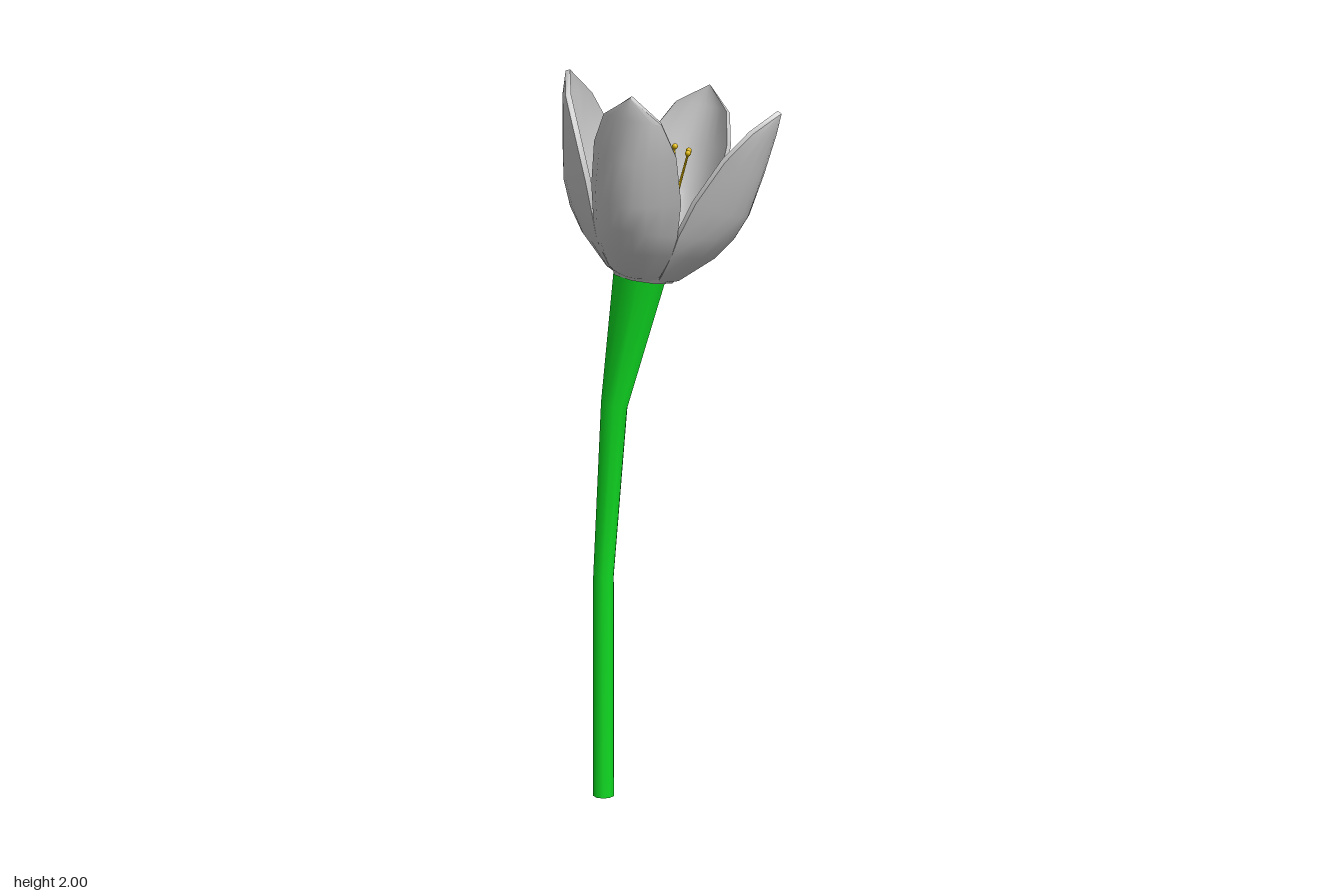
import * as THREE from 'three';
import { toCreasedNormals } from 'three/addons/utils/BufferGeometryUtils.js';

const V = (x, y, z) => new THREE.Vector3(x, y, z);

// Skin a stack of closed cross-sections that have equal point counts.
function loft(rings, crease = 0.7) {
  const n = rings[0].length, index = [];
  for (let i = 0; i < rings.length - 1; i++) {
    for (let j = 0; j < n; j++) {
      const a = i * n + j, b = i * n + (j + 1) % n;
      index.push(a, a + n, b, b, a + n, b + n);
    }
  }
  const geo = new THREE.BufferGeometry().setFromPoints(rings.flat());
  geo.setIndex(index);
  return toCreasedNormals(geo, crease);
}

// Ring around (x, y), leaning towards +x by the tilt angle.
function ring(x, y, radius, tilt, sides) {
  return Array.from({ length: sides }, (_, i) => {
    const a = (i / sides) * Math.PI * 2;
    return V(radius * Math.cos(a), 0, radius * Math.sin(a))
      .applyAxisAngle(V(0, 0, 1), -tilt).add(V(x, y, 0));
  });
}

// Cupped petal facing +x with an outer and an inner skin.
function petalGeometry() {
  // middle radius, middle height, edge radius, edge height, half width
  const rows = [
    [0.070, 0.000, 0.058, 0.000, 0.050],
    [0.100, 0.010, 0.075, 0.025, 0.073],
    [0.188, 0.089, 0.106, 0.090, 0.106],
    [0.232, 0.150, 0.121, 0.145, 0.119],
    [0.260, 0.215, 0.155, 0.240, 0.126],
    [0.281, 0.330, 0.212, 0.360, 0.114],
    [0.297, 0.440, 0.262, 0.440, 0.080],
    [0.305, 0.497, 0.305, 0.497, 0.000],
  ];
  const steps = 8;
  const rings = rows.map(([rm, hm, re, he, w]) => {
    const skin = (inset) => Array.from({ length: steps + 1 }, (_, j) => {
      const s = (j / steps) * 2 - 1, k = s * s;
      return V(rm + (re - rm) * k - inset, hm + (he - hm) * k + inset * 0.4,
        s * Math.max(0, w - inset * 0.6));
    });
    return [...skin(0), ...skin(0.012).reverse()];
  });
  return loft(rings, 0.8);
}

export function createModel() {
  const model = new THREE.Group();
  model.name = 'flower';
  const grey = new THREE.MeshStandardMaterial({ color: 0xcccccc });
  const green = new THREE.MeshStandardMaterial({ color: 0x0fdc22 });
  const gold = new THREE.MeshStandardMaterial({ color: 0xe0b800 });
  const add = (parent, name, geo, mat) => {
    const mesh = new THREE.Mesh(geo, mat);
    mesh.name = name;
    parent.add(mesh);
    return mesh;
  };

  // Bent stem widening towards the flower head
  const stem = [
    [-0.205, 0, 0, 0], [-0.205, 0, 0.03, 0], [-0.202, 0.63, 0.029, 0.04],
    [-0.168, 1.11, 0.038, 0.3], [-0.092, 1.468, 0.074, 0.165], [-0.092, 1.468, 0, 0.165],
  ];
  add(model, 'stem', loft(stem.map(([x, y, r, t]) => ring(x, y, r, t, 10))), green);

  // Leaning flower head
  const head = new THREE.Group();
  head.name = 'flowerHead';
  head.position.set(-0.083, 1.46, 0);
  head.rotation.z = -0.165;
  model.add(head);

  // Eight-sided receptacle closing the cup
  const profile = [[0, 0], [0.084, 0], [0.102, 0.03], [0.06, 0.052], [0, 0.06]]
    .map(([r, h]) => new THREE.Vector2(r, h));
  add(head, 'receptacle', toCreasedNormals(new THREE.LatheGeometry(profile, 8), 0.8), grey);

  // Four petals
  const petal = petalGeometry();
  for (let i = 0; i < 4; i++) {
    add(head, 'petal', petal, grey).rotation.y = (i * Math.PI) / 2;
  }

  // Eight tapering stamens, each with a round anther
  const filament = loft([
    [0.042, 0.045, 0.011, 0], [0.046, 0.075, 0.010, 0.2], [0.056, 0.11, 0.005, 0.2],
    [0.057, 0.22, 0.004, 0.05], [0.072, 0.345, 0.003, 0.12],
  ].map(([x, y, r, t]) => ring(x, y, r, t, 6)));
  const anther = new THREE.SphereGeometry(0.008, 10, 8);
  for (let i = 0; i < 8; i++) {
    const stamen = new THREE.Group();
    stamen.name = 'stamen';
    stamen.rotation.y = (i * Math.PI) / 4 - 0.08;
    add(stamen, 'filament', filament, gold);
    add(stamen, 'anther', anther, gold).position.set(0.072, 0.348, 0);
    head.add(stamen);
  }
  return model;
}
